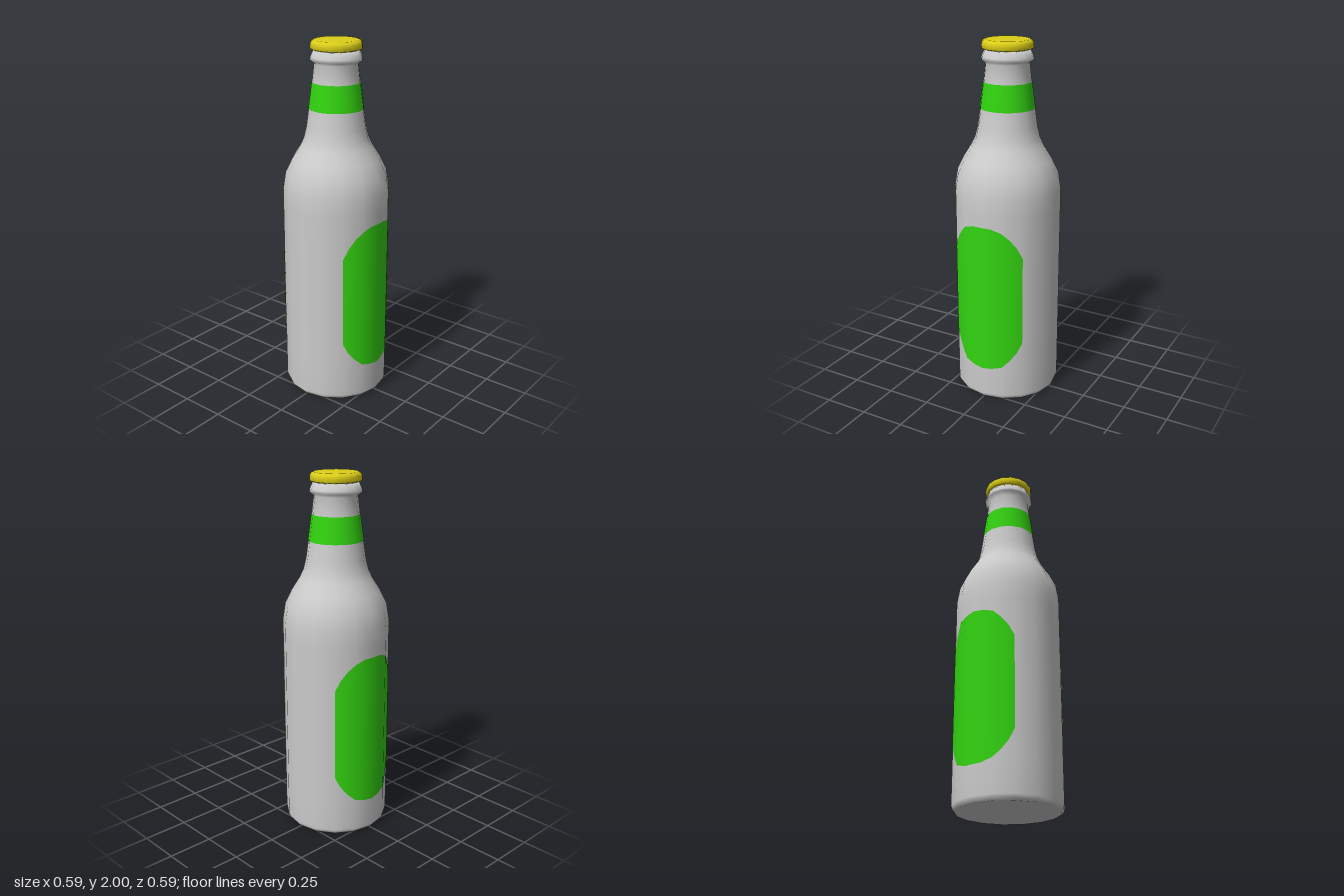
import * as THREE from 'three';

const SIDES = 16;
const BODY_RADIUS = 0.295;
const glass = new THREE.MeshStandardMaterial({ color: 0xcccccc });
const green = new THREE.MeshStandardMaterial({ color: 0x33d411, side: THREE.DoubleSide });
const yellow = new THREE.MeshStandardMaterial({ color: 0xdccf18 });

// Revolved part from [radius, height] pairs, listed bottom to top
function turned(name, profile, material) {
  const points = profile.map(([r, y]) => new THREE.Vector2(r, y));
  const mesh = new THREE.Mesh(new THREE.LatheGeometry(points, SIDES), material);
  mesh.name = name;
  return mesh;
}

// Rounded label lying on the body facets, spanning a quarter turn
function labelGeometry() {
  const half = [[0, 0.425], [11.25, 0.421], [22.5, 0.403], [31, 0.365], [39, 0.315], [45, 0.255]];
  const columns = [...half.slice(1).reverse().map(([a, h]) => [-a, h]), ...half];
  const middle = 0.615;
  const step = (Math.PI * 2) / SIDES;
  const position = [], normal = [], index = [];
  columns.forEach(([degrees, h], i) => {
    const angle = THREE.MathUtils.degToRad(degrees);
    const offset = THREE.MathUtils.euclideanModulo(angle + 1e-6, step) - step / 2;
    const r = ((BODY_RADIUS + 0.0015) * Math.cos(step / 2)) / Math.cos(offset);
    for (const y of [middle - h, middle + h]) {
      position.push(r * Math.sin(angle), y, r * Math.cos(angle));
      normal.push(Math.sin(angle), 0, Math.cos(angle));
    }
    if (i > 0) {
      const a = 2 * (i - 1);
      index.push(a, a + 2, a + 1, a + 2, a + 3, a + 1);
    }
  });
  const geometry = new THREE.BufferGeometry();
  geometry.setAttribute('position', new THREE.Float32BufferAttribute(position, 3));
  geometry.setAttribute('normal', new THREE.Float32BufferAttribute(normal, 3));
  geometry.setIndex(index);
  return geometry;
}

export function createModel() {
  const bottle = new THREE.Group();
  bottle.name = 'bottle';

  // Base, body, shoulder, neck and lip in one turned surface
  bottle.add(turned('glassBody', [
    [0, 0], [0.278, 0], [0.288, 0.01], [BODY_RADIUS, 0.03],
    [BODY_RADIUS, 0.2], [BODY_RADIUS, 1.1], [BODY_RADIUS, 1.19],
    [0.28, 1.285], [0.243, 1.36], [0.199, 1.43], [0.178, 1.475], [0.163, 1.535],
    [0.149, 1.635], [0.13, 1.775], [0.119, 1.875],
    [0.142, 1.892], [0.139, 1.91], [0.123, 1.945], [0, 1.95],
  ], glass));

  // Band around the neck
  bottle.add(turned('neckBand', [[0.151, 1.635], [0.132, 1.777]], green));

  // Crown cap
  bottle.add(turned('cap', [
    [0, 1.948], [0.13, 1.948], [0.14, 1.953], [0.139, 1.978],
    [0.133, 1.991], [0.12, 1.998], [0, 2],
  ], yellow));

  // Front and back labels
  const geometry = labelGeometry();
  ['frontLabel', 'backLabel'].forEach((name, i) => {
    const label = new THREE.Mesh(geometry, green);
    label.name = name;
    label.rotation.y = i * Math.PI;
    bottle.add(label);
  });

  return bottle;
}
